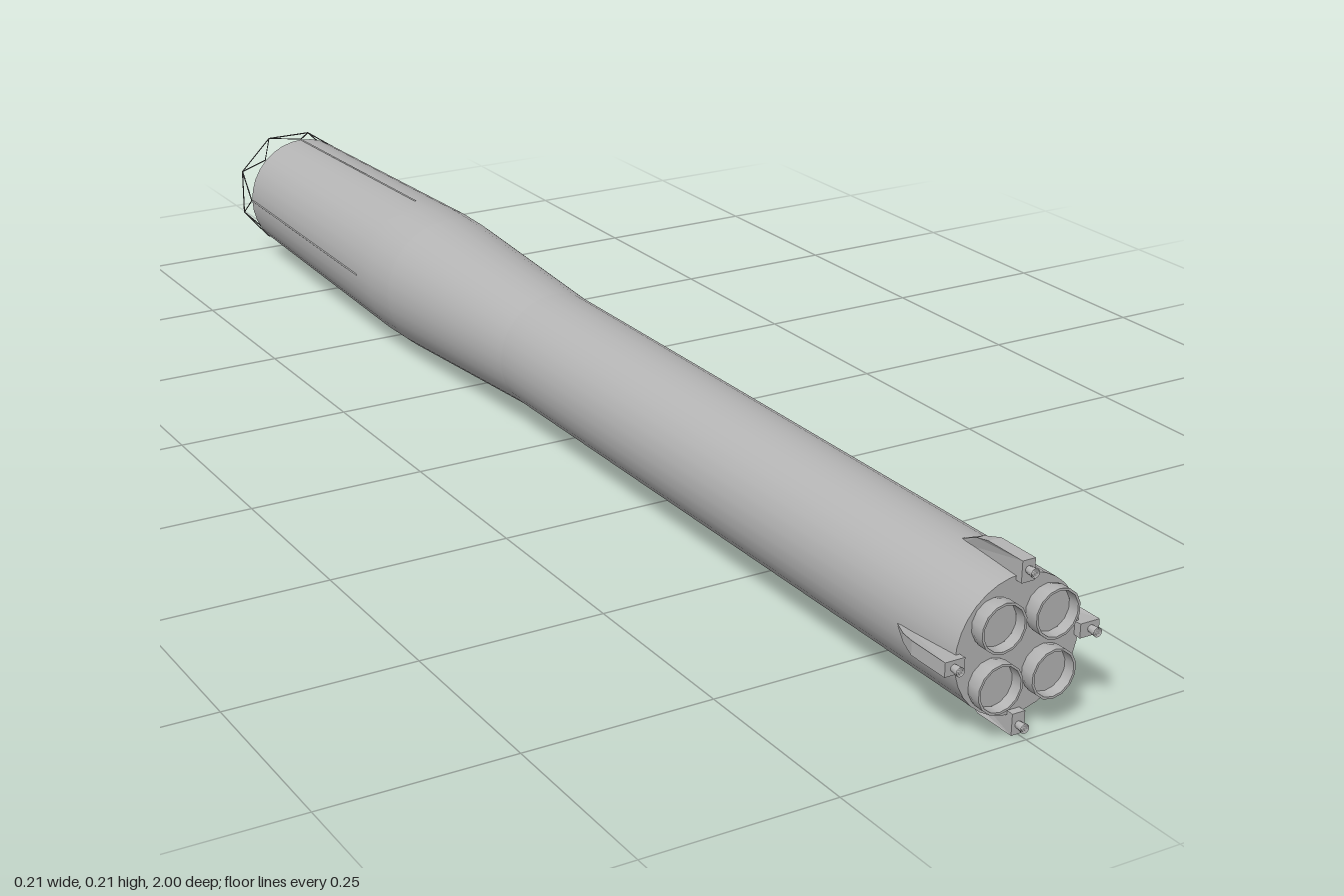
import * as THREE from 'three';

const AXIS_Y = 0.107;

export function createModel() {
  const grey = new THREE.MeshStandardMaterial({ color: 0xb4b4b4, side: THREE.DoubleSide });
  grey.name = 'hullGrey';
  const dark = new THREE.MeshStandardMaterial({ color: 0x555555 });
  dark.name = 'strutGrey';

  const model = new THREE.Group();
  model.name = 'rocketStage';
  const core = new THREE.Group();
  core.name = 'stageOnAxis';
  core.position.y = AXIS_Y;
  model.add(core);

  const add = (parent, geometry, material, name) => {
    const mesh = new THREE.Mesh(geometry, material);
    mesh.name = name;
    parent.add(mesh);
    return mesh;
  };
  // Revolves [radius, z] points about the z axis
  const lathe = (points, sides) =>
    new THREE.LatheGeometry(points.map(([r, z]) => new THREE.Vector2(r, z)), sides).rotateX(Math.PI / 2);
  // Thin rod between two points
  const rod = (a, b, radius) => {
    const dir = b.clone().sub(a);
    const geo = new THREE.CylinderGeometry(radius, radius, dir.length(), 4);
    geo.applyQuaternion(new THREE.Quaternion().setFromUnitVectors(new THREE.Vector3(0, 1, 0), dir.normalize()));
    const mid = a.clone().add(b).multiplyScalar(0.5);
    return geo.translate(mid.x, mid.y, mid.z);
  };

  // Hull: swollen rear tank, taper and slim front tube
  add(core, lathe([[0.093, -0.945], [0.104, -0.5]], 32), grey, 'rearTank');
  add(core, lathe([[0.104, -0.5], [0.105, -0.46], [0.104, -0.4]], 32), grey, 'tankShoulder');
  add(core, lathe([[0.104, -0.4], [0.086, -0.07]], 32), grey, 'taper');
  add(core, lathe([[0.086, -0.07], [0.086, 0.975]], 32), grey, 'frontTube');
  add(core, lathe([[0, -0.966], [0.093, -0.945]], 32), grey, 'rearCone');
  add(core, new THREE.CircleGeometry(0.086, 32).translate(0, 0, 0.975), grey, 'enginePlate');

  // Four engine nozzles: open cups with a recessed floor
  for (const x of [-0.037, 0.037]) {
    for (const y of [-0.037, 0.037]) {
      const nozzle = new THREE.Group();
      nozzle.name = 'engineNozzle';
      nozzle.position.set(x, y, 0);
      core.add(nozzle);
      add(nozzle, lathe([[0.028, 0.97], [0.031, 0.983], [0.031, 0.996]], 14), grey, 'nozzleWall');
      add(nozzle, lathe([[0.031, 0.996], [0.028, 0.996]], 14), grey, 'nozzleLip');
      add(nozzle, lathe([[0.028, 0.996], [0.027, 0.982]], 14), grey, 'nozzleInside');
      add(nozzle, new THREE.CircleGeometry(0.0275, 14).translate(0, 0, 0.982), grey, 'nozzleFloor');
    }
  }

  // Thruster pod: side profile extruded, then pinched towards its rear tip
  const profile = new THREE.Shape(
    [[0.87, 0.08], [0.985, 0.08], [0.985, 0.107], [0.925, 0.107], [0.9, 0.1], [0.87, 0.086]]
      .map(([z, r]) => new THREE.Vector2(z, r)));
  const podGeo = new THREE.ExtrudeGeometry(profile, { depth: 0.018, bevelEnabled: false })
    .translate(0, 0, -0.009).rotateY(-Math.PI / 2);
  const pos = podGeo.attributes.position;
  for (let i = 0; i < pos.count; i++) {
    const pinch = THREE.MathUtils.clamp((pos.getZ(i) - 0.865) / 0.06, 0.1, 1);
    pos.setX(i, pos.getX(i) * pinch);
  }
  podGeo.computeVertexNormals();

  for (let i = 0; i < 4; i++) {
    const quarter = new THREE.Group();
    quarter.name = 'quarterFittings';
    quarter.rotation.z = i * Math.PI / 2;
    core.add(quarter);
    add(quarter, podGeo, grey, 'thrusterPod');
    add(quarter, lathe([[0.004, 0.98], [0.006, 0.997], [0.003, 0.988]], 10).translate(0, 0.095, 0),
      grey, 'thrusterNozzle');
    add(quarter, new THREE.CircleGeometry(0.0035, 10).translate(0, 0.095, 0.9885), dark, 'thrusterThroat');
    // Cable run along the rear tank
    add(quarter, rod(new THREE.Vector3(0, 0.1035, -0.51), new THREE.Vector3(0, 0.093, -0.94), 0.0016),
      grey, 'cableRun');
  }

  // Open truss ring behind the rear tank
  const truss = new THREE.Group();
  truss.name = 'rearTruss';
  core.add(truss);
  const at = (step, z) => {
    const a = step * Math.PI / 8;
    return new THREE.Vector3(Math.cos(a) * 0.094, Math.sin(a) * 0.094, z);
  };
  for (let i = 0; i < 16; i += 2) {
    const apex = at(i + 1, -0.998);
    add(truss, rod(at(i, -0.945), apex, 0.001), dark, 'trussStrut');
    add(truss, rod(apex, at(i + 2, -0.945), 0.001), dark, 'trussStrut');
    add(truss, rod(apex, at(i + 3, -0.998), 0.001), dark, 'trussRing');
  }
  return model;
}
